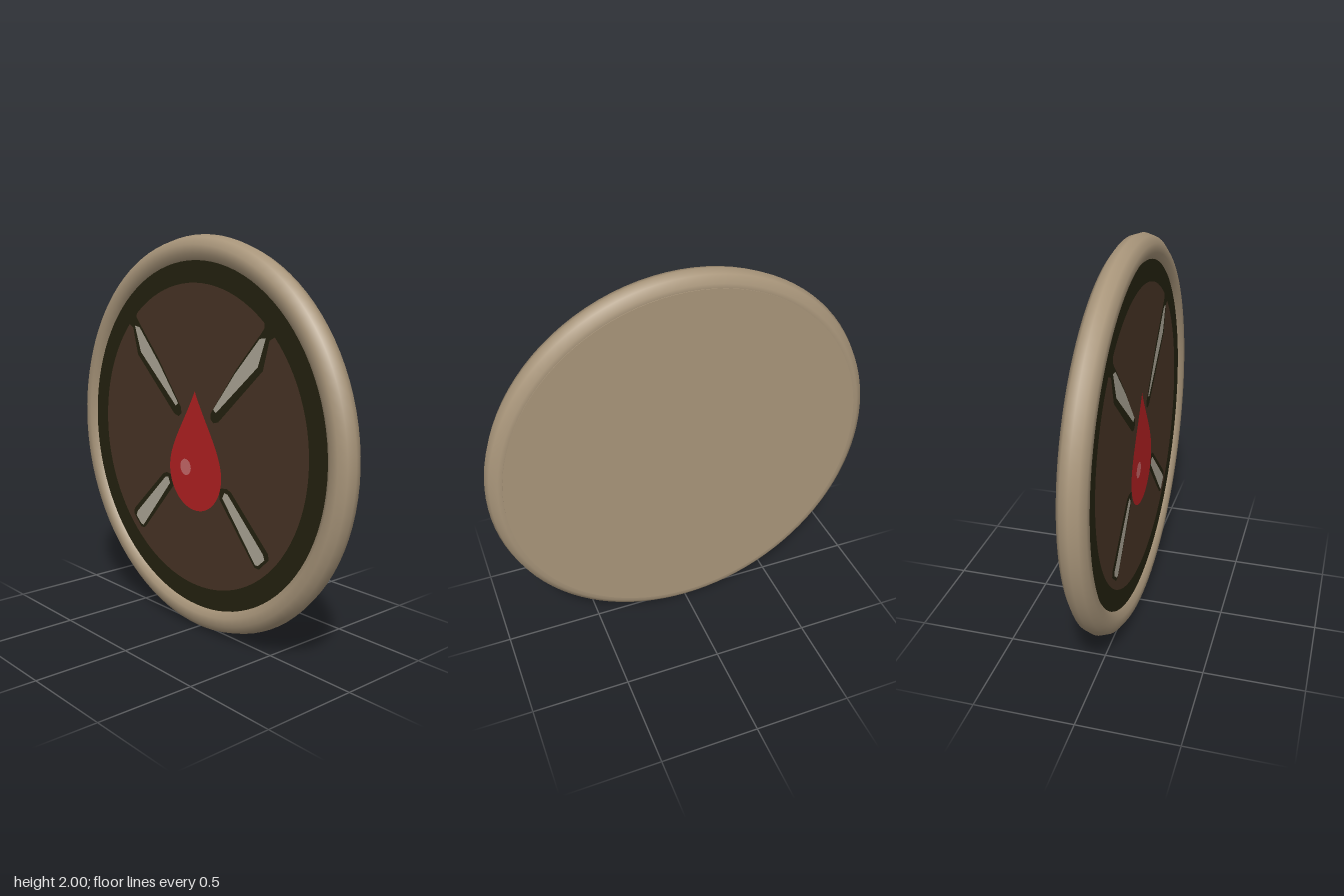
import * as THREE from 'three';

const mat = (name, color, extra = {}) => {
  const m = new THREE.MeshStandardMaterial({ color, ...extra });
  m.name = name;
  return m;
};

export function createModel() {
  const tan = mat('tan', 0xa8957a);
  const dark = mat('darkOlive', 0x24220f);
  const brown = mat('brown', 0x483425);
  const bone = mat('boneGrey', 0xaea898);
  const red = mat('red', 0xb32022);
  const shine = mat('paleRed', 0xcb6a6a);

  const medallion = new THREE.Group();
  medallion.name = 'medallion';
  const add = (name, geometry, material, z = 0) => {
    const mesh = new THREE.Mesh(geometry, material);
    mesh.name = name;
    mesh.position.set(0, 1, z);
    medallion.add(mesh);
    return mesh;
  };

  // Rounded rim and the flat body with a dark face
  add('rim', new THREE.TorusGeometry(0.93, 0.07, 10, 96), tan);
  const body = new THREE.CylinderGeometry(0.93, 0.93, 0.114, 96).rotateX(Math.PI / 2);
  add('body', body, [tan, dark, tan], -0.013);

  // Inlaid field, leaving the dark ring around it
  add('field', new THREE.CircleGeometry(0.77, 96), brown, 0.047);

  // Flat shape from points measured from the centre; side -1 mirrors it
  const plate = (points, side) => new THREE.ShapeGeometry(
    new THREE.Shape(points.map(([x, y]) => new THREE.Vector2(x * side, y))));

  const blade = [[0.495, 0.535], [0.455, 0.53], [0.29, 0.355], [0.135, 0.165],
    [0.155, 0.15], [0.445, 0.4]];
  const bladeEdge = [[0.6, 0.55], [0.55, 0.543], [0.515, 0.525], [0.475, 0.385],
    [0.17, 0.107], [0.135, 0.097], [0.112, 0.115], [0.115, 0.145], [0.3, 0.38],
    [0.463, 0.555], [0.483, 0.58], [0.48, 0.61], [0.52, 0.66]];
  const handle = [[0.22, -0.235], [0.205, -0.265], [0.44, -0.545], [0.46, -0.545],
    [0.505, -0.505], [0.495, -0.48], [0.245, -0.24]];
  const handleEdge = [[0.18, -0.22], [0.235, -0.213], [0.265, -0.225], [0.525, -0.47],
    [0.53, -0.5], [0.465, -0.562], [0.435, -0.56], [0.415, -0.54], [0.18, -0.275]];

  // Crossed blades behind the drop
  for (const [label, side] of [['left', 1], ['right', -1]]) {
    add(label + 'BladeOutline', plate(bladeEdge, side), dark, 0.049);
    add(label + 'HandleOutline', plate(handleEdge, side), dark, 0.049);
    add(label + 'Blade', plate(blade, side), bone, 0.052);
    add(label + 'Handle', plate(handle, side), bone, 0.052);
  }

  // Central drop: round base drawn up to a point
  const drop = new THREE.Shape();
  drop.moveTo(0, 0.24);
  drop.bezierCurveTo(-0.08, 0.08, -0.2, -0.05, -0.2, -0.17);
  drop.absarc(0, -0.17, 0.2, Math.PI, Math.PI * 2, false);
  drop.bezierCurveTo(0.2, -0.05, 0.08, 0.08, 0, 0.24);
  add('drop', new THREE.ShapeGeometry(drop, 24), red, 0.055);

  const highlight = new THREE.CircleGeometry(0.042, 24).translate(-0.07, -0.155, 0);
  add('dropHighlight', highlight, shine, 0.058);

  return medallion;
}
